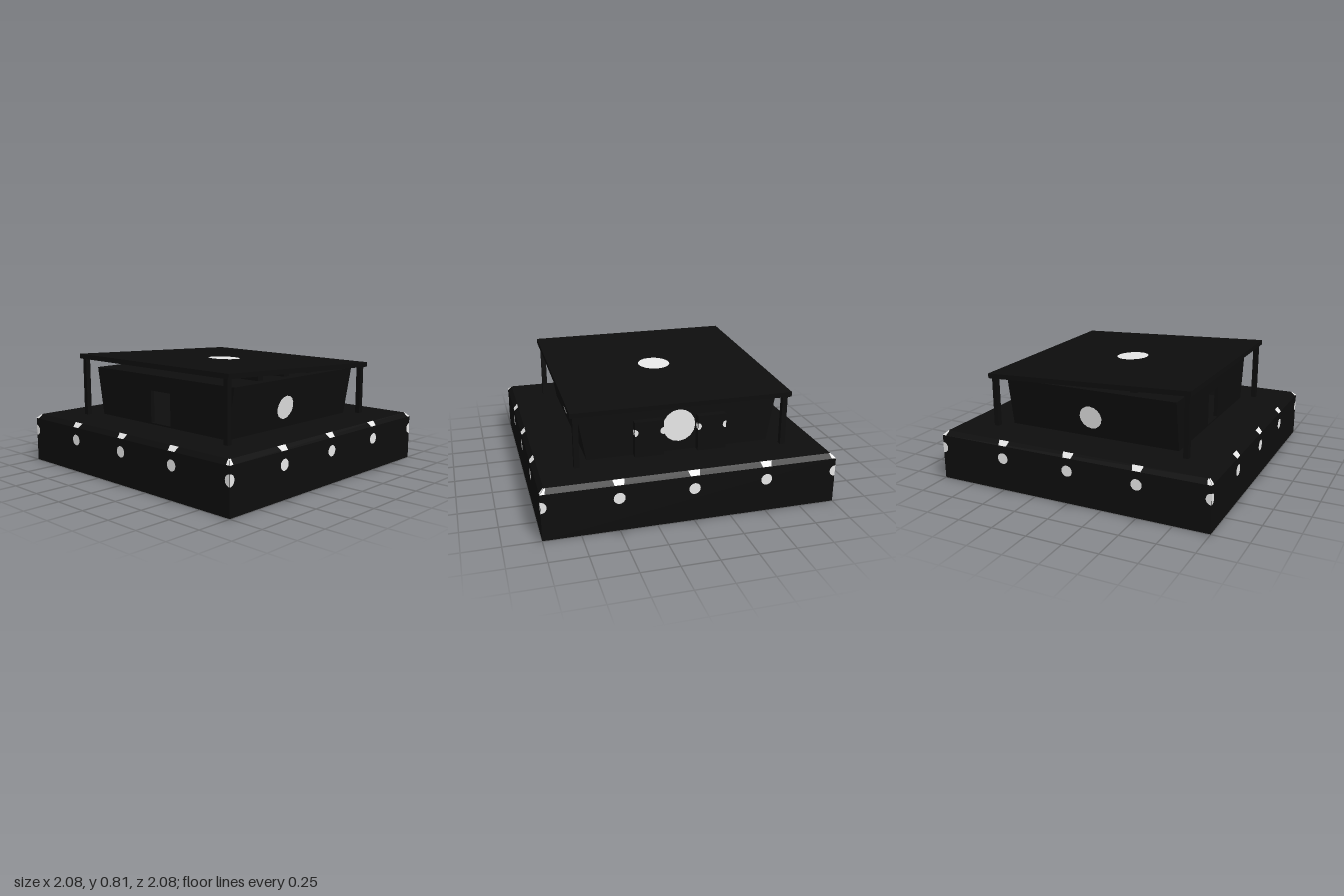
import * as THREE from 'three';

const black = new THREE.MeshStandardMaterial({ color: 0x0d0d0d });
black.name = 'black';
const white = new THREE.MeshStandardMaterial({ color: 0xf2f2f2 });
white.name = 'white';

function add(parent, name, geometry, material, x = 0, y = 0, z = 0) {
  const mesh = new THREE.Mesh(geometry, material);
  mesh.name = name;
  mesh.position.set(x, y, z);
  parent.add(mesh);
  return mesh;
}
const box = (parent, name, w, h, d, x, y, z) =>
  add(parent, name, new THREE.BoxGeometry(w, h, d), black, x, y, z);

// Round spot facing local +z; start and length allow half discs
const disc = (parent, r, x, y, z, start = 0, length = Math.PI * 2) =>
  add(parent, 'spot', new THREE.CircleGeometry(r, 16, start, length), white, x, y, z);

const polygon = (points) => new THREE.Shape(points.map(([x, y]) => new THREE.Vector2(x, y)));

// Box whose upper face is inset on all sides
function chamferBlock(size, inset, height) {
  const g = new THREE.BoxGeometry(size, height, size).toNonIndexed();
  const p = g.attributes.position;
  const k = (size - 2 * inset) / size;
  for (let i = 0; i < p.count; i++) {
    if (p.getY(i) > 0) p.setXYZ(i, p.getX(i) * k, p.getY(i), p.getZ(i) * k);
  }
  g.computeVertexNormals();
  return g;
}

function buildBase() {
  const base = new THREE.Group();
  base.name = 'base';
  box(base, 'baseBlock', 2, 0.32, 2, 0, 0.16, 0);
  add(base, 'baseChamfer', chamferBlock(2, 0.03, 0.03), black, 0, 0.335, 0);

  const bevelSpot = polygon([[-0.03, 0], [0.03, 0], [0.04, 0.042], [-0.04, 0.042]]);
  const rightEnd = polygon([[0.97, 0], [1, 0], [0.97, 0.042], [0.96, 0.042]]);
  const leftEnd = polygon([[-1, 0], [-0.97, 0], [-0.96, 0.042], [-0.97, 0.042]]);

  // The same row of spots on each of the four sides
  for (let k = 0; k < 4; k++) {
    const side = new THREE.Group();
    side.name = 'baseSideSpots';
    side.rotation.y = k * Math.PI / 2;
    for (const x of [-0.5, 0, 0.5]) disc(side, 0.039, x, 0.23, 1.001);
    disc(side, 0.039, -1, 0.23, 1.001, -Math.PI / 2, Math.PI);
    disc(side, 0.039, 1, 0.23, 1.001, Math.PI / 2, Math.PI);
    for (const [shape, x] of [[bevelSpot, -0.5], [bevelSpot, 0], [bevelSpot, 0.5], [rightEnd, 0], [leftEnd, 0]]) {
      const s = add(side, 'edgeSpot', new THREE.ShapeGeometry(shape), white, x, 0.321, 1.001);
      s.rotation.x = -Math.PI / 4;
    }
    // Half discs along the underside edge
    for (const x of [-0.5, 0, 0.5]) {
      disc(side, 0.04, x, -0.001, 1, 0, Math.PI).rotation.x = Math.PI / 2;
    }
    disc(side, 0.04, 1, -0.001, 1, Math.PI / 2, Math.PI / 2).rotation.x = Math.PI / 2;
    base.add(side);
  }
  for (const x of [-0.5, 0, 0.5]) {
    for (const z of [-0.5, 0, 0.5]) disc(base, 0.04, x, -0.001, z).rotation.x = Math.PI / 2;
  }
  return base;
}

function buildHouse() {
  const house = new THREE.Group();
  house.name = 'house';
  const extrude = (shape, depth) => new THREE.ExtrudeGeometry(shape, { depth, bevelEnabled: false });
  const outline = [[-0.64, 0.35], [0.64, 0.35], [0.7, 0.7], [-0.7, 0.7]];

  // Front wall with a doorway, plain back wall
  const front = polygon(outline);
  front.holes.push(new THREE.Path([[-0.1, 0.36], [-0.1, 0.59], [0.1, 0.59], [0.1, 0.36]]
    .map(([x, y]) => new THREE.Vector2(x, y))));
  add(house, 'frontWall', extrude(front, 0.03), black, 0, 0, 0.61);
  add(house, 'backWall', extrude(polygon(outline), 0.03), black, 0, 0, -0.64);

  // Side walls leaning outward
  for (const s of [-1, 1]) {
    const wall = polygon([[s * 0.61, 0.35], [s * 0.64, 0.35], [s * 0.7, 0.7], [s * 0.67, 0.7]]);
    add(house, 'sideWall', extrude(wall, 1.22), black, 0, 0, -0.61);
    const face = new THREE.Group();
    face.name = 'sideSpot';
    face.rotation.y = s * Math.PI / 2;
    disc(face, 0.084, s > 0 ? -0.09 : 0, 0.495, 0.668).rotation.x = 0.17;
    house.add(face);
  }
  box(house, 'ceiling', 1.34, 0.02, 1.24, 0, 0.688, 0);

  // Back spot and the two small cabinets beside it
  const back = new THREE.Group();
  back.name = 'backDetails';
  back.rotation.y = Math.PI;
  disc(back, 0.115, 0, 0.53, 0.642);
  for (const x of [-0.22, 0.22]) {
    box(back, 'cabinet', 0.2, 0.25, 0.05, x, 0.475, 0.665);
    for (const s of [-1, 1]) {
      disc(back, 0.022, x + s * 0.101, 0.525, 0.67).rotation.y = s * Math.PI / 2;
      disc(back, 0.025, x + s * 0.1, 0.525, 0.691, s * Math.PI / 2, Math.PI);
    }
  }
  house.add(back);
  return house;
}

function buildRoof() {
  const canopy = new THREE.Group();
  canopy.name = 'canopy';

  // Sloping roof, higher at the front
  const roof = new THREE.Group();
  roof.name = 'roof';
  roof.position.y = 0.754;
  roof.rotation.x = -0.046;
  box(roof, 'roofSlab', 1.52, 0.034, 1.52, 0, 0, 0);
  disc(roof, 0.117, 0, 0.018, 0).rotation.x = -Math.PI / 2;
  disc(roof, 0.117, 0, -0.018, 0).rotation.x = Math.PI / 2;
  canopy.add(roof);

  // Corner posts and the spacers between house and roof
  for (const s of [-1, 1]) {
    box(canopy, 'frontPost', 0.036, 0.43, 0.036, s * 0.722, 0.565, 0.726);
    box(canopy, 'backPost', 0.036, 0.37, 0.036, s * 0.722, 0.535, -0.724);
    for (const z of [0.3, 0.025, -0.25]) {
      const top = 0.738 + z * 0.046;
      box(canopy, 'spacer', 0.2, top - 0.69, 0.052, s * 0.52, (top + 0.69) / 2, z);
    }
  }
  return canopy;
}

export function createModel() {
  const model = new THREE.Group();
  model.name = 'pavilion';
  model.add(buildBase(), buildHouse(), buildRoof());
  return model;
}
